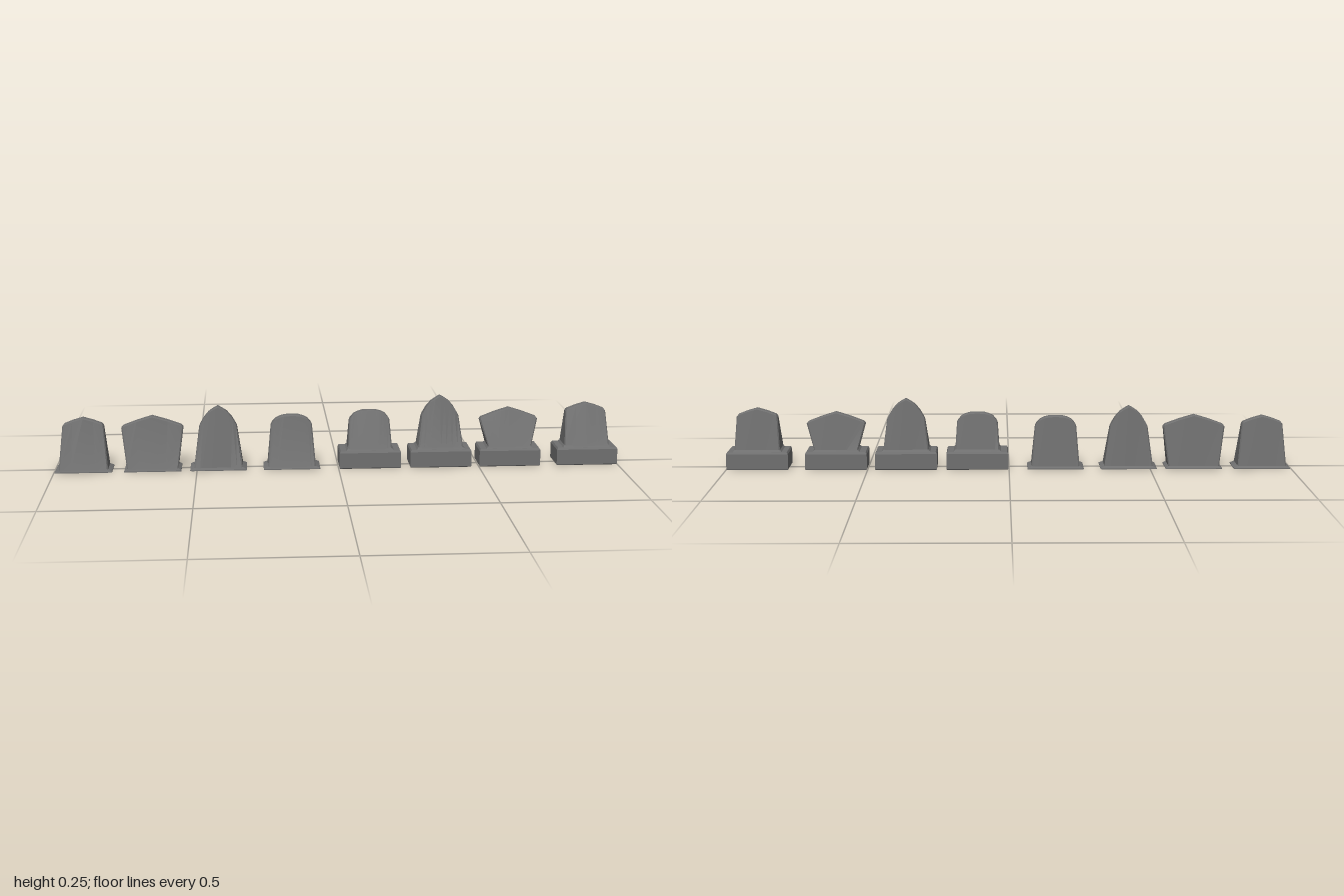
import * as THREE from 'three';
import { toCreasedNormals } from 'three/addons/utils/BufferGeometryUtils.js';

const material = new THREE.MeshStandardMaterial({ color: 0x707070 });

// Solid through stacked rings; each ring runs left to right in front, then right to left behind.
function loft(name, rings) {
  const pos = [];
  const quad = (a, b, c, d) => pos.push(...a, ...b, ...c, ...a, ...c, ...d);
  const n = rings[0].length;
  for (let r = 0; r < rings.length - 1; r++) {
    const lo = rings[r], hi = rings[r + 1];
    for (let i = 0; i < n; i++) {
      const j = (i + 1) % n;
      quad(lo[i], lo[j], hi[j], hi[i]);
    }
  }
  const bottom = rings[0], top = rings[rings.length - 1];
  for (let i = 0; i < n / 2 - 1; i++) {
    const k = n - 1 - i;
    quad(top[i], top[i + 1], top[k - 1], top[k]);
    quad(bottom[k], bottom[k - 1], bottom[i + 1], bottom[i]);
  }
  const geometry = new THREE.BufferGeometry();
  geometry.setAttribute('position', new THREE.Float32BufferAttribute(pos, 3));
  const mesh = new THREE.Mesh(toCreasedNormals(geometry, 0.4), material);
  mesh.name = name;
  return mesh;
}

// Rectangular ring: half width, half depth, height
const rect = (w, d, y) => [[-w, y, d], [w, y, d], [w, y, -d], [-w, y, -d]];

// Top outlines as [fraction of half width, height], from the centre outwards
const outlines = {
  peaked: [[0, 0.187], [0.5, 0.177], [0.95, 0.165], [1, 0.161]],
  flared: [[0, 0.19], [0.5, 0.174], [0.96, 0.156], [1, 0.152]],
  gothic: [[0, 0.222], [0.25, 0.213], [0.5, 0.202], [0.75, 0.183], [0.94, 0.161], [1, 0.152]],
  rounded: [[0, 0.187], [0.35, 0.186], [0.6, 0.181], [0.8, 0.174], [0.94, 0.163], [1, 0.155]],
};

// Slab with a flared lip, whose columns run straight from a thick foot to a thin, backward-leaning crest
function slab(outline, y0, lift, lipW, footW, topW) {
  const columns = [...outline.slice(1).reverse().map(([u, y]) => [-u, y]), ...outline];
  const ring = (w, front, back, corner, height) => {
    const side = (z, sign) => columns.map(([u, y]) =>
      [u * w, height(y), z - sign * (Math.abs(u) === 1 ? corner : 0)]);
    return [...side(front, 1), ...side(back, -1).reverse()];
  };
  return loft('slab', [
    ring(lipW, 0.051, -0.051, 0.002, () => y0),
    ring(lipW, 0.051, -0.051, 0.002, () => y0 + 0.003),
    ring(footW, 0.046, -0.046, 0.004, () => y0 + 0.01),
    ring(topW, 0.004, -0.023, 0.004, (y) => y + lift - 0.004),
    ring(topW - 0.003, 0.001, -0.02, 0.004, (y) => y + lift),
  ]);
}

function gravestone({ x, shape, footW, topW, lift = 0, plinth = false }) {
  const stone = new THREE.Group();
  stone.name = shape + 'Gravestone';
  stone.position.x = x;
  if (plinth) {
    // Block with slightly eased edges
    stone.add(loft('plinth', [
      rect(0.107, 0.054, 0), rect(0.109, 0.056, 0.003),
      rect(0.109, 0.056, 0.057), rect(0.105, 0.052, 0.064),
    ]));
  }
  const lipW = plinth ? footW + 0.006 : 0.1;
  stone.add(slab(outlines[shape], plinth ? 0.061 : 0, lift, lipW, footW, topW));
  return stone;
}

export function createModel() {
  const row = new THREE.Group();
  row.name = 'gravestoneRow';
  [
    { x: -0.897, shape: 'peaked', footW: 0.086, topW: 0.072 },
    { x: -0.655, shape: 'flared', footW: 0.09, topW: 0.109 },
    { x: -0.424, shape: 'gothic', footW: 0.086, topW: 0.067 },
    { x: -0.165, shape: 'rounded', footW: 0.085, topW: 0.073 },
    { x: 0.112, shape: 'rounded', footW: 0.078, topW: 0.072, lift: 0.013, plinth: true },
    { x: 0.364, shape: 'gothic', footW: 0.08, topW: 0.067, lift: 0.027, plinth: true },
    { x: 0.611, shape: 'flared', footW: 0.077, topW: 0.104, lift: 0.012, plinth: true },
    { x: 0.889, shape: 'peaked', footW: 0.08, topW: 0.072, lift: 0.029, plinth: true },
  ].forEach((spec) => row.add(gravestone(spec)));
  return row;
}
